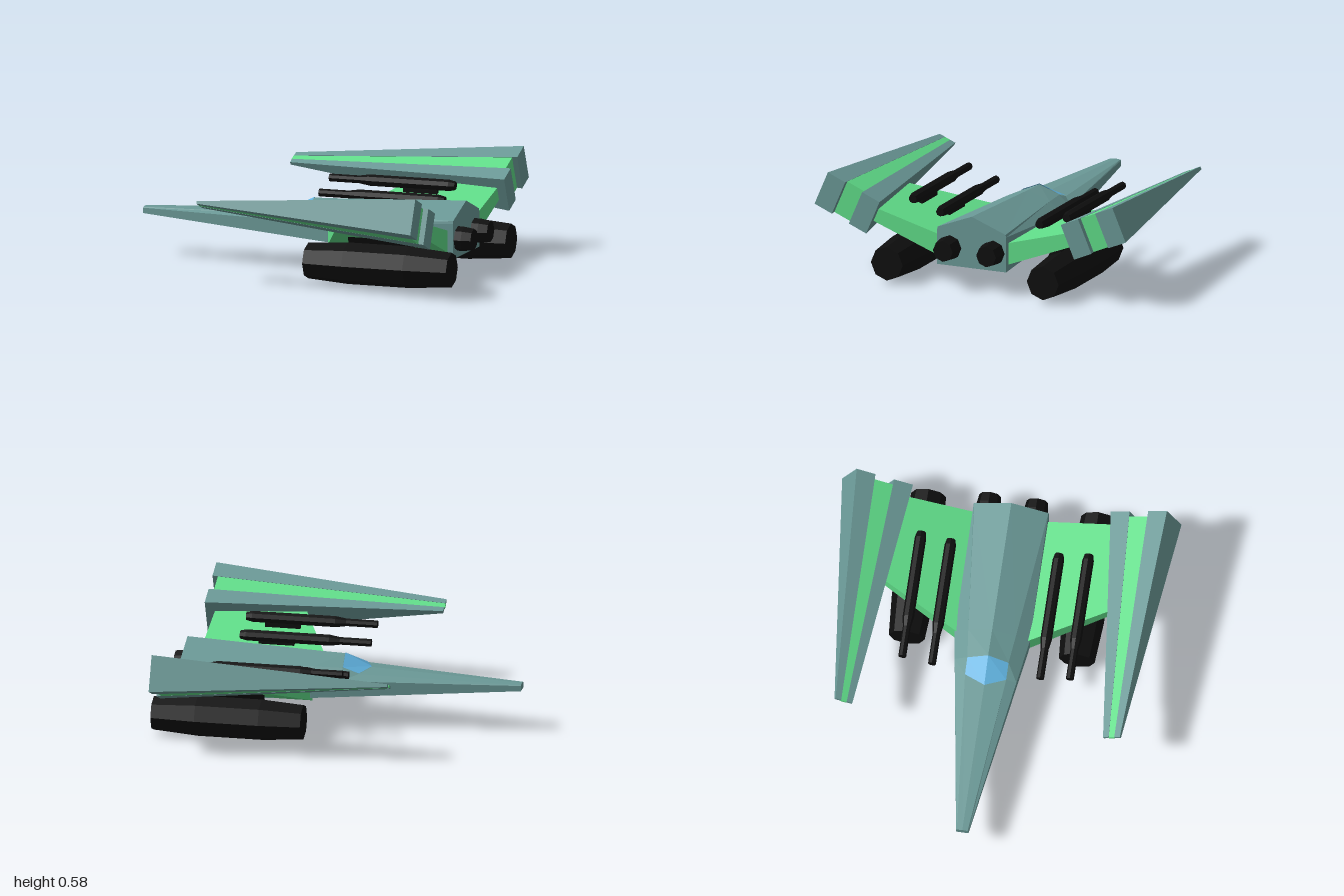
import * as THREE from 'three';

const paint = (name, color, extra = {}) => {
  const m = new THREE.MeshStandardMaterial({ color, ...extra });
  m.name = name;
  return m;
};

// Flat-faced skin through cross-sections of equal point count, closed and capped unless open.
function loft(sections, open = false) {
  const tris = [];
  const n = sections[0].length;
  for (let s = 0; s < sections.length - 1; s++) {
    const p = sections[s], q = sections[s + 1];
    for (let i = 0; i < (open ? n - 1 : n); i++) {
      const j = (i + 1) % n;
      tris.push([p[i], p[j], q[j]], [p[i], q[j], q[i]]);
    }
  }
  if (!open) {
    const first = sections[0], last = sections[sections.length - 1];
    for (let i = 1; i < n - 1; i++) {
      tris.push([first[0], first[i + 1], first[i]], [last[0], last[i], last[i + 1]]);
    }
  }
  // Turn the faces outward if the sections run the other way round
  let volume = 0;
  for (const [a, b, c] of tris) {
    volume += a[0] * (b[1] * c[2] - b[2] * c[1]) + a[1] * (b[2] * c[0] - b[0] * c[2]) + a[2] * (b[0] * c[1] - b[1] * c[0]);
  }
  if (volume < 0) tris.forEach((t) => t.reverse());
  const g = new THREE.BufferGeometry();
  g.setAttribute('position', new THREE.Float32BufferAttribute(tris.flat(2), 3));
  g.computeVertexNormals();
  return g;
}

// Eight-sided body along x from [x, radius] pairs
function turned(profile, y, z) {
  return loft(profile.map(([x, r]) => Array.from({ length: 8 }, (_, i) => {
    const a = (i * Math.PI) / 4;
    return [x, y + r * Math.sin(a), z + r * Math.cos(a)];
  })));
}

export function createModel() {
  const hullPaint = paint('hullTeal', 0x6a9896);
  const green = paint('wingGreen', 0x60dd89);
  const black = paint('engineBlack', 0x0e0e0e);
  const glass = paint('canopyBlue', 0x5fb0dd, { side: THREE.DoubleSide });

  const model = new THREE.Group();
  model.name = 'spacecraft';
  const add = (name, geometry, material) => {
    const mesh = new THREE.Mesh(geometry, material);
    mesh.name = name;
    model.add(mesh);
  };

  // Fuselage: each half section is lower corner, side, shoulder, ridge
  const mirror = ([x, y, z]) => [x, y, -z];
  const halves = [
    [[-1, 0.24, 0.035], [-1, 0.27, 0.035], [-1, 0.275, 0.03], [-1, 0.278, 0]],
    [[-0.1, 0.193, 0.172], [-0.1, 0.279, 0.172], [-0.1, 0.305, 0.115], [-0.15, 0.315, 0]],
    [[-0.01, 0.188, 0.186], [-0.01, 0.28, 0.186], [-0.01, 0.335, 0.115], [0, 0.385, 0]],
    [[0.15, 0.18, 0.21], [0.15, 0.28, 0.21], [0.15, 0.34, 0.133], [0.15, 0.39, 0]],
    [[0.89, 0.13, 0.21], [0.89, 0.33, 0.21], [0.89, 0.345, 0.207], [0.89, 0.425, 0]],
  ];
  add('fuselage', loft(halves.map((h) => [...h, ...h.slice(0, 3).reverse().map(mirror)])), hullPaint);

  // Canopy: thin skin over the sloped step in the roof
  const lift = ([x, y, z]) => [x - 0.002, y + 0.004, z];
  add('canopy', loft([halves[1], halves[2]].map((h) => [h[2], h[3], mirror(h[2])].map(lift)), true), glass);

  for (const side of [1, -1]) {
    const label = side > 0 ? 'left' : 'right';

    // Swept, upward-angled wing slab running into the tip pod
    const wingRib = (z, front, low, high) => [
      [front, low, z * side], [0.858, low, z * side], [0.858, high, z * side], [front, high, z * side],
    ];
    add(label + 'Wing', loft([wingRib(0.19, 0.145, 0.16, 0.285), wingRib(0.68, 0.37, 0.347, 0.42)]), green);

    // Wing tip pod: two tapered teal halves around a green core
    const tipSection = (x, y, halfU, halfV, u0, u1) =>
      [[u0, -1], [u1, -1], [u1, 1], [u0, 1]].map(([u, v]) => [
        x,
        y + 0.394 * u * halfU + 0.919 * v * halfV,
        side * (0.75 + 0.919 * u * halfU - 0.394 * v * halfV),
      ]);
    const tipPart = (name, u0, u1, material, inset, rear, nose) =>
      add(label + name, loft([
        tipSection(nose, 0.45, 0.051, 0.008 - inset * 0.5, u0, u1),
        tipSection(rear, 0.421, 0.171, 0.103 - inset, u0, u1),
      ]), material);
    tipPart('TipInner', -1, -0.33, hullPaint, 0, 0.91, -0.405);
    tipPart('TipCore', -0.33, 0.33, green, 0.003, 0.88, -0.408);
    tipPart('TipOuter', 0.33, 1, hullPaint, 0, 0.91, -0.405);

    // Underslung engine with its pylon
    add(label + 'Engine', turned([[0.135, 0.1], [0.37, 0.117], [0.73, 0.117], [0.98, 0.097]], 0.122, side * 0.475), black);
    const pylon = new THREE.BoxGeometry(0.36, 0.12, 0.06);
    pylon.rotateX(side * 0.35);
    pylon.translate(0.55, 0.23, side * 0.435);
    add(label + 'Pylon', pylon, black);

    // Tail thruster
    add(label + 'Thruster', turned([[0.87, 0.07], [0.93, 0.068], [0.985, 0.06]], 0.235, side * 0.132), black);

    // Pair of cannons on short posts
    for (const [name, y, z] of [['InnerCannon', 0.356, 0.302], ['OuterCannon', 0.412, 0.468]]) {
      add(label + name, turned([[-0.085, 0.022], [0.09, 0.022], [0.15, 0.032], [0.62, 0.032], [0.655, 0.024]], y, side * z), black);
      const post = new THREE.BoxGeometry(0.2, 0.07, 0.02);
      post.translate(0.45, y - 0.035, side * z);
      add(label + name + 'Post', post, black);
    }
  }
  return model;
}
